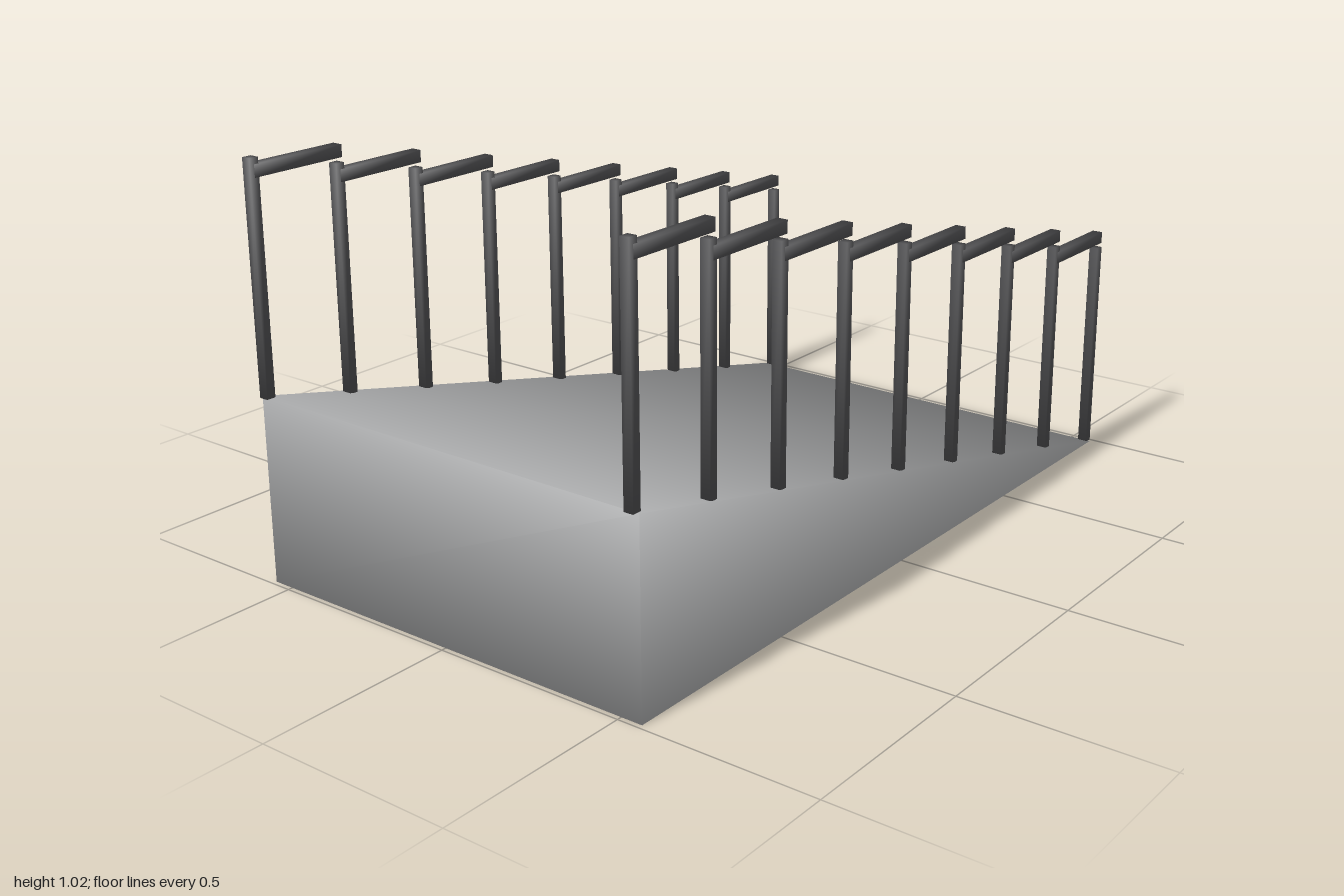
import * as THREE from 'three';

const WIDTH = 0.555, HALF = 0.988, RISE = 0.465;
const RAIL_X = 0.537, STEPS = 8;

// Solid with shared corners; each corner normal averages its faces by their angle there
function smoothSolid(points, faces) {
  const corners = points.map((p) => new THREE.Vector3(...p));
  const normals = corners.map(() => new THREE.Vector3());
  const index = [];
  for (const face of faces) {
    const n = face.length;
    const [a, b, c] = face.map((i) => corners[i]);
    const normal = b.clone().sub(a).cross(c.clone().sub(a)).normalize();
    face.forEach((id, k) => {
      const next = corners[face[(k + 1) % n]].clone().sub(corners[id]);
      const prev = corners[face[(k + n - 1) % n]].clone().sub(corners[id]);
      normals[id].addScaledVector(normal, next.angleTo(prev));
      if (k > 1) index.push(face[0], face[k - 1], id);
    });
  }
  normals.forEach((v) => v.normalize());
  const geo = new THREE.BufferGeometry();
  geo.setAttribute('position', new THREE.Float32BufferAttribute(corners.flatMap((v) => v.toArray()), 3));
  geo.setAttribute('normal', new THREE.Float32BufferAttribute(normals.flatMap((v) => v.toArray()), 3));
  geo.setIndex(index);
  return geo;
}

// Softly shaded bar centred on the origin
function bar(w, h, d) {
  const ring = [[-1, -1], [1, -1], [1, 1], [-1, 1]];
  const points = [1, -1].flatMap((s) => ring.map(([x, y]) => [x * w / 2, y * h / 2, s * d / 2]));
  const sides = ring.map((_, i) => [i, i + 4, (i + 1) % 4 + 4, (i + 1) % 4]);
  return smoothSolid(points, [[0, 1, 2, 3], [7, 6, 5, 4], ...sides]);
}

function wedge() {
  return smoothSolid([
    [-WIDTH, 0, HALF], [WIDTH, 0, HALF], [WIDTH, RISE, HALF], [-WIDTH, RISE, HALF],
    [-WIDTH, 0, -HALF], [WIDTH, 0, -HALF],
  ], [
    [0, 1, 2, 3], // front wall
    [3, 2, 5, 4], // slope
    [0, 4, 5, 1], // underside
    [1, 5, 2], [0, 3, 4], // sides
  ]);
}

export function createModel() {
  const model = new THREE.Group();
  model.name = 'railedRamp';
  const concrete = new THREE.MeshStandardMaterial({ color: 0xa9aaab });
  const iron = new THREE.MeshStandardMaterial({ color: 0x4c4c4e });

  const add = (parent, name, geo, material, x, y, z) => {
    const mesh = new THREE.Mesh(geo, material);
    mesh.name = name;
    mesh.position.set(x, y, z);
    parent.add(mesh);
  };

  add(model, 'ramp', wedge(), concrete, 0, 0, 0);

  const pitch = (2 * HALF) / STEPS;
  const drop = RISE / STEPS;
  const postHeight = 0.56;
  const postGeo = bar(0.024, postHeight, 0.024);
  const railGeo = bar(0.027, 0.03, pitch + 0.006);

  // A post at every step, with a level rail running back from each but the last
  for (const side of [-1, 1]) {
    const railing = new THREE.Group();
    railing.name = side > 0 ? 'leftRailing' : 'rightRailing';
    for (let i = 0; i <= STEPS; i++) {
      const z = HALF - i * pitch;
      const base = RISE - i * drop;
      add(railing, 'post', postGeo, iron, side * RAIL_X, base + postHeight / 2, z);
      if (i < STEPS) add(railing, 'rail', railGeo, iron, side * RAIL_X, base + 0.53, z - pitch / 2 - 0.003);
    }
    model.add(railing);
  }
  return model;
}
